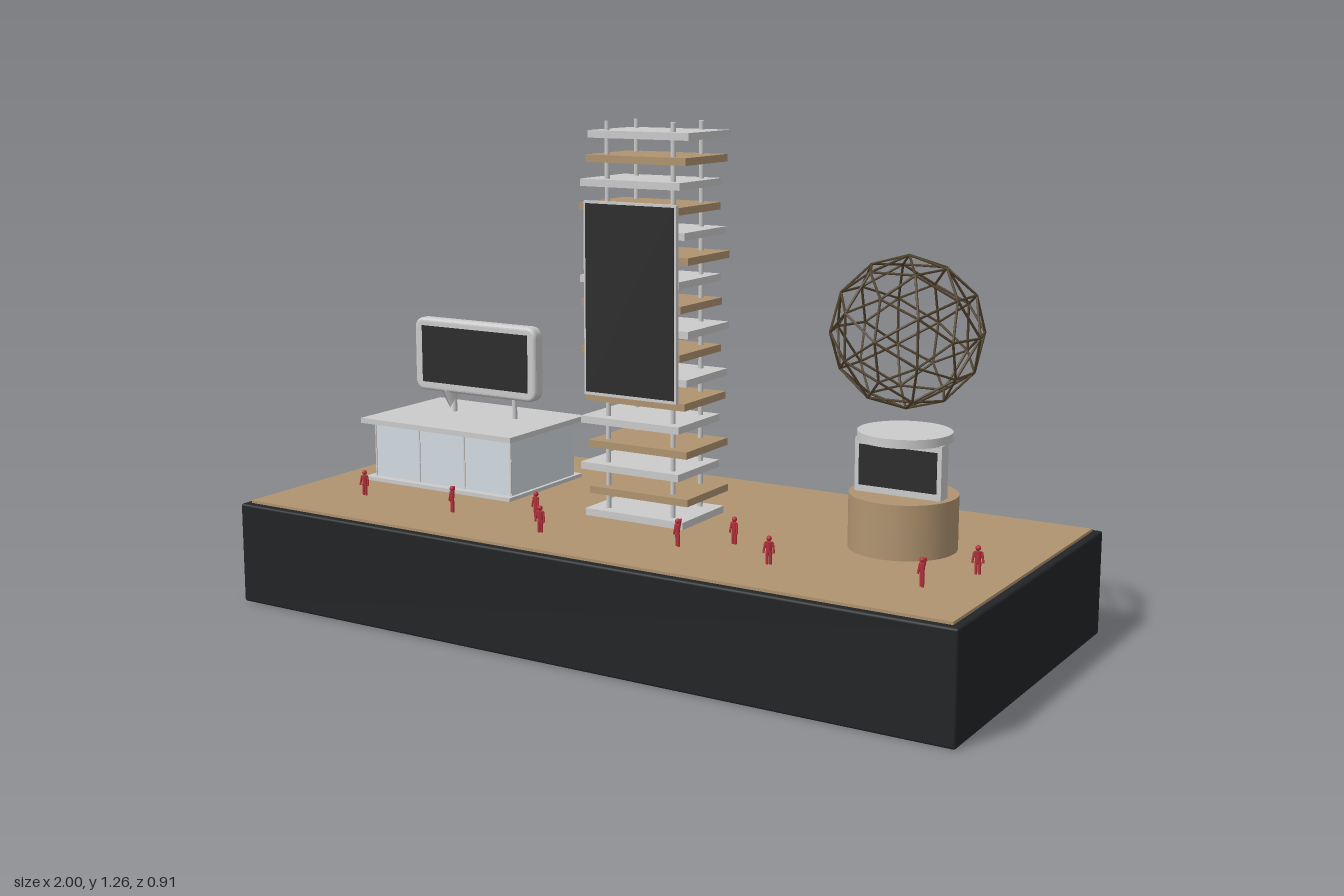
import * as THREE from 'three';
import { RoundedBoxGeometry } from 'three/addons/geometries/RoundedBoxGeometry.js';

const mat = (color) => new THREE.MeshStandardMaterial({ color });
const grey = mat(0xcccccc);
const wood = mat(0xb09470);
const black = mat(0x222426);
const dark = mat(0x2c2c2c);
const glass = mat(0xd2dce2);
const bronze = mat(0x51432f);
const red = mat(0xb8323c);
const UP = new THREE.Vector3(0, 1, 0);

function add(parent, name, geometry, material, x = 0, y = 0, z = 0) {
  const mesh = new THREE.Mesh(geometry, material);
  mesh.name = name;
  mesh.position.set(x, y, z);
  parent.add(mesh);
  return mesh;
}

// Box given by its extents on each axis
function span(parent, name, material, [x0, x1], [y0, y1], [z0, z1]) {
  return add(parent, name, new THREE.BoxGeometry(x1 - x0, y1 - y0, z1 - z0), material,
    (x0 + x1) / 2, (y0 + y1) / 2, (z0 + z1) / 2);
}

// Round bar between two points
function bar(parent, name, material, a, b, r, sides = 8) {
  const d = b.clone().sub(a);
  const mesh = add(parent, name, new THREE.CylinderGeometry(r, r, d.length(), sides), material);
  mesh.position.copy(a).add(b).multiplyScalar(0.5);
  mesh.quaternion.setFromUnitVectors(UP, d.normalize());
  return mesh;
}

function group(parent, name, x = 0, y = 0, z = 0) {
  const g = new THREE.Group();
  g.name = name;
  g.position.set(x, y, z);
  parent.add(g);
  return g;
}

// Plinth with wooden deck
function buildBase(root) {
  const g = group(root, 'base');
  add(g, 'plinth', new RoundedBoxGeometry(2, 0.263, 0.91, 2, 0.006), black, 0, 0.1315, 0);
  span(g, 'deck', wood, [-0.98, 0.98], [0.255, 0.27], [-0.435, 0.435]);
}

// Tower of stacked slats on four posts, with a tall screen in front
function buildTower(root) {
  const g = group(root, 'tower');
  const shift = [0, 1, -1, 0.8, -1, 0.3, 0.7, -0.8, 1, -0.6, -0.9, 1, 0.2, -1, -0.8, 0.4, 1];
  shift.forEach((s, i) => {
    add(g, i % 2 ? 'woodSlat' : 'greySlat', new THREE.BoxGeometry(0.284, 0.018, 0.2),
      i % 2 ? wood : grey, s * 0.013, 0.285 + i * 0.0589, 0.023);
  });
  for (const x of [-0.094, 0.094]) for (const z of [0.09, -0.043]) {
    add(g, 'post', new THREE.CylinderGeometry(0.0065, 0.0065, 0.99, 10), grey, x, 0.764, z);
  }
  span(g, 'screenFrame', grey, [-0.134, 0.13], [0.588, 1.067], [0.125, 0.136]);
  span(g, 'screen', dark, [-0.128, 0.124], [0.596, 1.061], [0.13, 0.138]);
}

// Glazed pavilion with a rounded billboard on its roof
function buildPavilion(root) {
  const g = group(root, 'pavilion');
  span(g, 'floorPlate', grey, [-0.88, -0.395], [0.268, 0.28], [-0.235, 0.1]);
  span(g, 'body', glass, [-0.86, -0.405], [0.28, 0.428], [-0.212, 0.077]);
  for (let i = 0; i < 4; i++) {
    const x = -0.858 + i * 0.1503;
    span(g, 'mullion', grey, [x - 0.002, x + 0.002], [0.28, 0.428], [0.07, 0.079]);
  }
  span(g, 'roof', grey, [-0.886, -0.387], [0.428, 0.442], [-0.24, 0.105]);

  const sign = group(g, 'billboard', -0.632, 0.6, -0.088);
  const w = 0.203, h = 0.101, r = 0.028;
  const shape = new THREE.Shape();
  shape.absarc(w - r, h - r, r, 0, Math.PI / 2);
  shape.absarc(r - w, h - r, r, Math.PI / 2, Math.PI);
  shape.absarc(r - w, r - h, r, Math.PI, Math.PI * 1.5);
  shape.absarc(w - r, r - h, r, Math.PI * 1.5, Math.PI * 2);
  const shell = new THREE.ExtrudeGeometry(shape, {
    depth: 0.02, bevelThickness: 0.01, bevelSize: 0.01, bevelOffset: -0.01, bevelSegments: 4, curveSegments: 6,
  });
  add(sign, 'signShell', shell, grey, 0, 0, -0.01);
  span(sign, 'signScreen', dark, [-0.176, 0.178], [-0.076, 0.08], [0.015, 0.0215]);
  for (const x of [-0.727, -0.523]) {
    add(g, 'signPole', new THREE.CylinderGeometry(0.007, 0.007, 0.08, 10), grey, x, 0.48, -0.103);
  }
  // Tapered bracket under the sign
  const bracket = add(g, 'signBracket', new THREE.ConeGeometry(0.032, 0.05, 4), grey, -0.728, 0.479, -0.084);
  bracket.rotation.set(Math.PI, 0, 0);
  bracket.scale.z = 0.65;
}

// Round kiosk with a screen, a disc canopy and a geodesic globe above
function buildKiosk(root) {
  const g = group(root, 'kiosk', 0.65, 0, -0.042);
  add(g, 'drum', new THREE.CylinderGeometry(0.13, 0.13, 0.134, 48), wood, 0, 0.335, 0);
  span(g, 'kioskPanel', grey, [-0.109, 0.111], [0.402, 0.532], [0.002, 0.041]);
  span(g, 'kioskScreen', dark, [-0.098, 0.1], [0.418, 0.516], [0.036, 0.043]);
  add(g, 'canopy', new THREE.CylinderGeometry(0.112, 0.112, 0.021, 48), grey, 0, 0.541, 0);

  const globe = group(g, 'globe', 0, 0.784, 0);
  const ico = new THREE.IcosahedronGeometry(0.18, 1);
  const p = ico.getAttribute('position');
  const seen = new Set();
  const key = (v) => v.toArray().map((c) => Math.round(c * 1000) + 0).join();
  for (let f = 0; f < p.count; f += 3) {
    for (let e = 0; e < 3; e++) {
      const a = new THREE.Vector3().fromBufferAttribute(p, f + e);
      const b = new THREE.Vector3().fromBufferAttribute(p, f + (e + 1) % 3);
      const id = [key(a), key(b)].sort().join('|');
      if (seen.has(id)) continue;
      seen.add(id);
      bar(globe, 'strut', bronze, a, b, 0.003, 6);
    }
  }
}

// Small standing figure, optionally with raised arms
function buildFigure(root, x, z, turn, raised) {
  const g = group(root, 'visitor', x, 0.27, z);
  g.rotation.y = turn;
  const torso = add(g, 'torso', new THREE.CylinderGeometry(0.0095, 0.006, 0.026, 10), red, 0, 0.04, 0);
  torso.scale.z = 0.65;
  add(g, 'head', new THREE.SphereGeometry(0.0065, 12, 8), red, 0, 0.061, 0);
  for (const s of [-1, 1]) {
    add(g, 'leg', new THREE.CylinderGeometry(0.004, 0.0032, 0.03, 8), red, s * 0.004, 0.015, 0);
    const up = raised && (s > 0 || raised > 1);
    bar(g, 'arm', red, new THREE.Vector3(s * 0.009, 0.051, 0),
      new THREE.Vector3(s * (up ? 0.018 : 0.0125), up ? 0.07 : 0.027, up ? 0.002 : 0.003), 0.0026);
  }
}

export function createModel() {
  const root = new THREE.Group();
  root.name = 'exhibitionStand';
  buildBase(root);
  buildTower(root);
  buildPavilion(root);
  buildKiosk(root);
  // x, z, turn, raised arms
  const visitors = [
    [-0.765, 0.237, 0.1, 0], [-0.46, 0.257, -0.5, 1], [-0.245, 0.193, -0.3, 0],
    [-0.155, 0.302, 0.1, 0], [0.195, 0.235, -0.5, 1], [0.3, 0.148, -0.3, 0],
    [0.452, 0.257, 0.3, 0], [0.822, 0.237, -0.6, 1], [0.89, 0.083, 0.3, 0],
  ];
  for (const v of visitors) buildFigure(root, ...v);
  return root;
}
